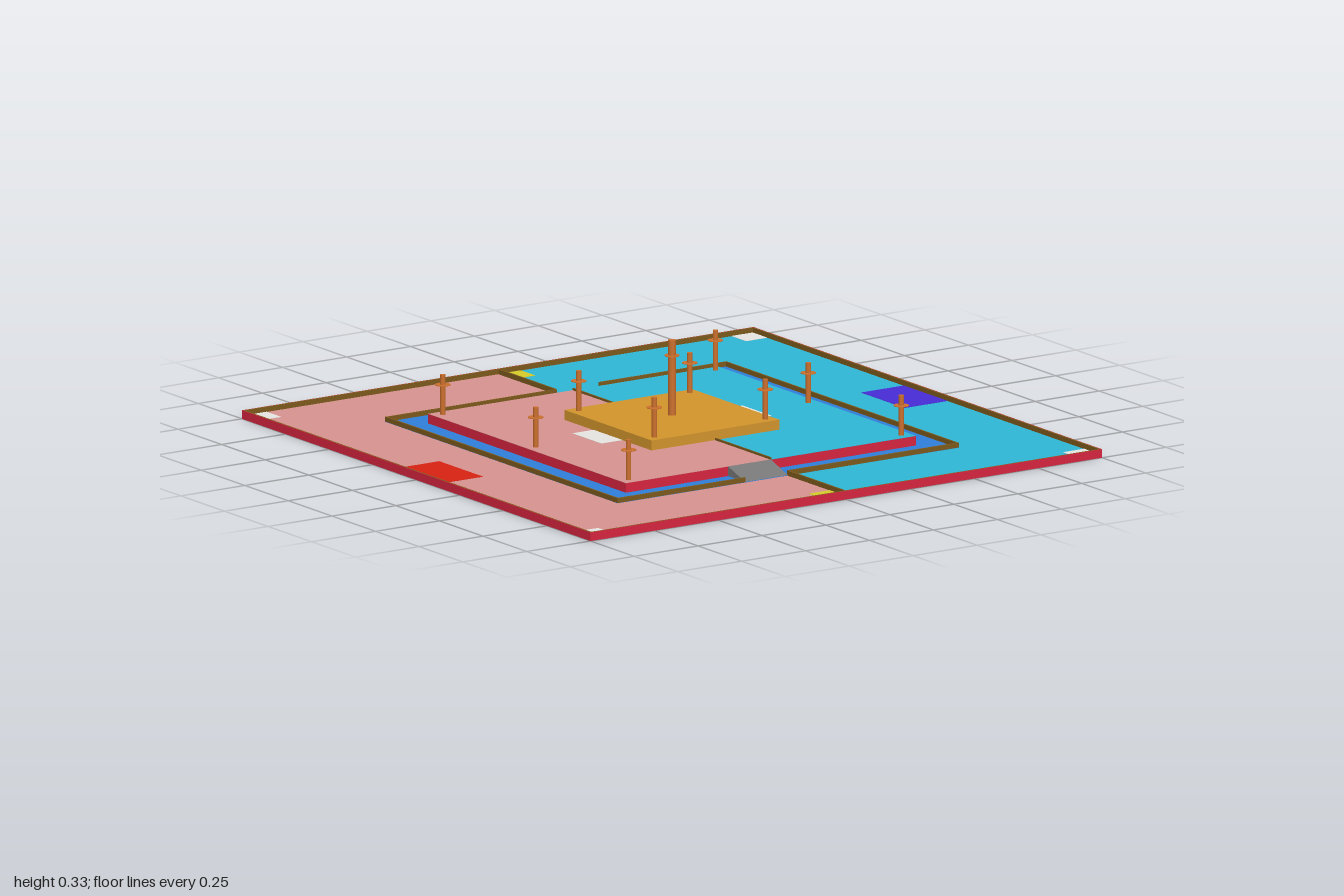
import * as THREE from 'three';

const GROUND = 0.0117, FENCE_TOP = 0.0283, DECK = 0.045, STAGE = 0.078;
const MOAT = 0.667, PLATFORM = 0.567;

const paint = (color) => new THREE.MeshStandardMaterial({ color });
const red = paint(0xd8253f), pink = paint(0xd59290), cyan = paint(0x2fb6d6), blue = paint(0x2f7fd9);
const brown = paint(0x7d5a1c), gold = paint(0xd2942c), copper = paint(0xcb6f2c), grey = paint(0x777777);
const white = paint(0xe6e4e0), yellow = paint(0xd4cb2a), scarlet = paint(0xd62213), violet = paint(0x472cd4);

export function createModel() {
  const model = new THREE.Group();

  const add = (name, geometry, material) => {
    const mesh = new THREE.Mesh(geometry, material);
    mesh.name = name;
    model.add(mesh);
    return mesh;
  };

  // Box given by its limits on each axis
  const block = (name, material, x0, x1, y0, y1, z0, z1) => {
    const mesh = add(name, new THREE.BoxGeometry(x1 - x0, y1 - y0, z1 - z0), material);
    mesh.position.set((x0 + x1) / 2, (y0 + y1) / 2, (z0 + z1) / 2);
  };

  // Square ring lying flat, from half-width "inner" to "outer"
  const ring = (name, material, outer, inner, y0, y1) => {
    const square = (path, s) => path.moveTo(-s, -s).lineTo(s, -s).lineTo(s, s).lineTo(-s, s).closePath();
    const shape = new THREE.Shape();
    square(shape, outer);
    const hole = new THREE.Path();
    square(hole, inner);
    shape.holes.push(hole);
    const geometry = new THREE.ExtrudeGeometry(shape, { depth: y1 - y0, bevelEnabled: false });
    geometry.rotateX(-Math.PI / 2).translate(0, y0, 0);
    add(name, geometry, material);
  };

  // Base tray with its perimeter fence
  block('base', red, -1, 1, 0, GROUND - 0.001, -1, 1);
  ring('outerRim', red, 1, 0.998, GROUND - 0.001, FENCE_TOP);
  ring('perimeterFence', brown, 0.998, 0.992, GROUND - 0.001, FENCE_TOP);

  // Two-colour floor, moat and raised platform
  block('leftFloor', cyan, 0, 0.992, GROUND - 0.001, GROUND, -0.992, 0.992);
  block('rightFloor', pink, -0.992, 0, GROUND - 0.001, GROUND, -0.992, 0.992);
  ring('moat', blue, MOAT, PLATFORM, GROUND, GROUND + 0.001);
  block('platform', red, -PLATFORM, PLATFORM, GROUND, DECK - 0.001, -PLATFORM, PLATFORM);
  block('leftDeck', cyan, 0, PLATFORM, DECK - 0.001, DECK, -PLATFORM, PLATFORM);
  block('rightDeck', pink, -PLATFORM, 0, DECK - 0.001, DECK, -PLATFORM, PLATFORM);
  block('deckDivider', brown, -0.0025, 0.0025, DECK, 0.052, -PLATFORM, PLATFORM);
  block('centreStage', gold, -0.25, 0.25, DECK, STAGE, -0.25, 0.25);

  // Parts that repeat on the opposite side after a half turn
  for (const s of [1, -1]) {
    const turned = (name, material, x0, x1, y0, y1, z0, z1) => s > 0
      ? block(name, material, x0, x1, y0, y1, z0, z1)
      : block(name, material, -x1, -x0, y0, y1, -z1, -z0);
    const t = 0.006;

    // Fences: moat edge with a gap at the bridge, and dividing line
    turned('moatFence', brown, -MOAT, -0.167, GROUND, FENCE_TOP, MOAT - t, MOAT);
    turned('moatFence', brown, 0, MOAT, GROUND, FENCE_TOP, MOAT - t, MOAT);
    turned('moatFence', brown, MOAT - t, MOAT, GROUND, FENCE_TOP, -MOAT + t, MOAT - t);
    turned('floorDivider', brown, -0.003, 0.003, GROUND, FENCE_TOP, MOAT, 0.992);

    // Sloping bridge, wedge section swept across its width
    const wedge = new THREE.Shape();
    wedge.moveTo(PLATFORM, GROUND).lineTo(MOAT, GROUND).lineTo(PLATFORM, DECK).closePath();
    const bridge = new THREE.ExtrudeGeometry(wedge, { depth: 0.167, bevelEnabled: false });
    bridge.rotateY(-Math.PI / 2);
    if (s < 0) bridge.rotateY(Math.PI);
    add('bridge', bridge, grey);

    // Floor markings
    const y = GROUND + 0.001;
    turned('cornerMark', white, 0.909, 0.992, GROUND, y, 0.909, 0.992);
    turned('cornerMark', white, -0.992, -0.909, GROUND, y, 0.909, 0.992);
    turned('middleMark', yellow, -0.085, -0.003, GROUND, y, 0.909, 0.992);
    turned('startZone', s > 0 ? violet : scarlet, 0.825, 0.992, GROUND, y, -0.125, 0.125);
    turned('deckMark', white, 0.25, 0.333, DECK, DECK + 0.001, -0.083, 0.083);
  }

  // Poles, each with a thin collar near the top
  const pole = (x, z, base, height, radius, collarDrop) => {
    const group = new THREE.Group();
    group.name = 'pole';
    const post = new THREE.Mesh(new THREE.CylinderGeometry(radius, radius, height, 24), copper);
    post.name = 'post';
    post.position.y = height / 2;
    const collar = new THREE.Mesh(new THREE.CylinderGeometry(0.025, 0.025, 0.002, 32), copper);
    collar.name = 'collar';
    collar.position.y = height - collarDrop;
    group.add(post, collar);
    group.position.set(x, base, z);
    model.add(group);
  };
  for (const x of [-1, 1]) {
    for (const z of [-1, 0, 1]) pole(x * 0.533, z * 0.533, DECK, 0.133, 0.0085, 0.034);
    for (const z of [-1, 1]) pole(x * 0.217, z * 0.217, STAGE, 0.133, 0.0085, 0.034);
  }
  pole(0, 0, STAGE, 0.25, 0.0125, 0.052);

  return model;
}
